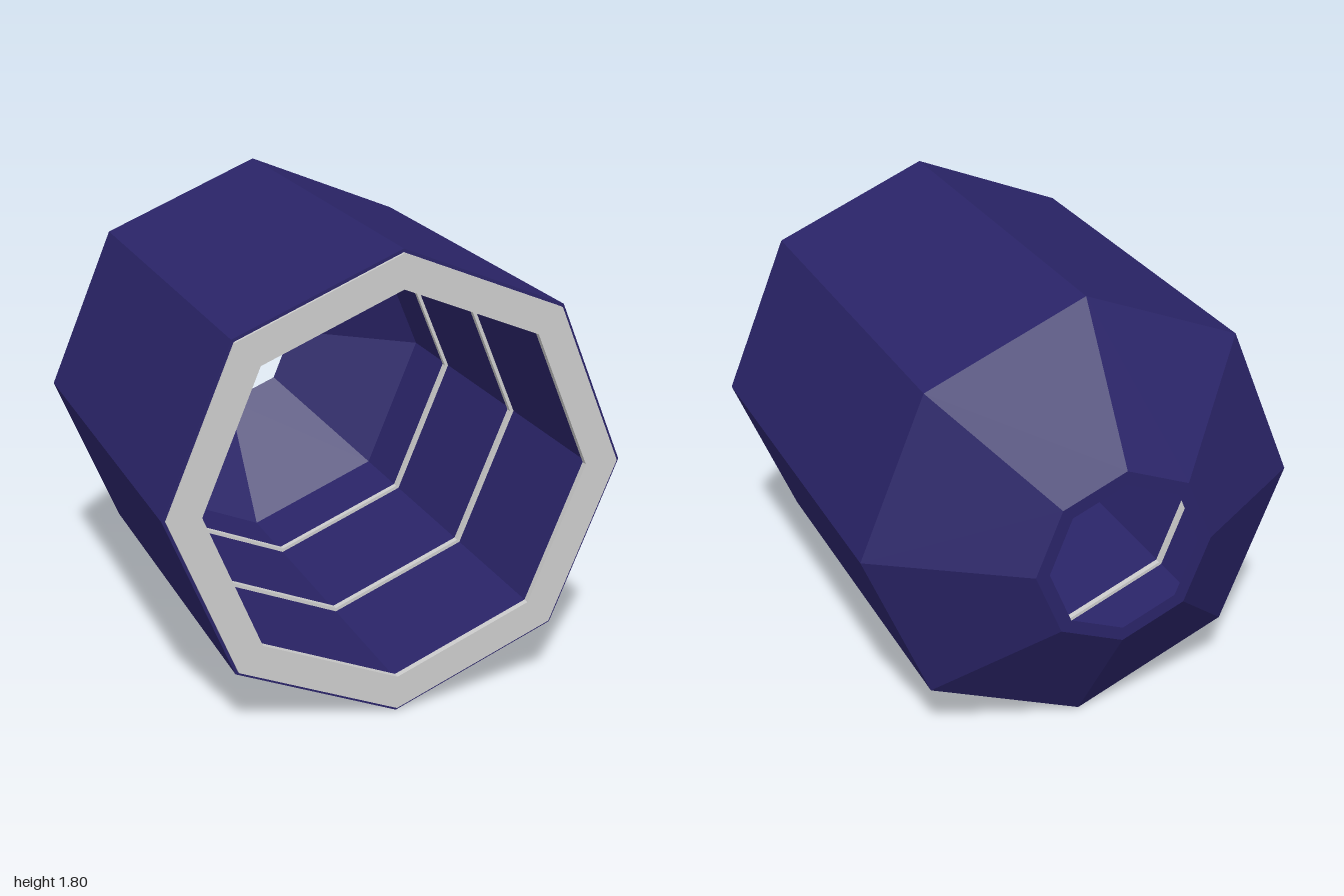
import * as THREE from 'three';

const CENTER_Y = 0.9;
const navy = new THREE.MeshStandardMaterial({ color: 0x2a2468, flatShading: true });
const grey = new THREE.MeshStandardMaterial({ color: 0xcccccc, flatShading: true });

// Eight-sided turned part along z; the profile lists [radius, z] and is closed automatically
function octagonal(name, profile, material) {
  const points = [...profile, profile[0]].map(([r, z]) => new THREE.Vector2(r, z));
  const geometry = new THREE.LatheGeometry(points, 8).rotateX(Math.PI / 2);
  const mesh = new THREE.Mesh(geometry, material);
  mesh.name = name;
  mesh.position.y = CENTER_Y;
  return mesh;
}

// Flat octagonal ring whose front face lies at z
function ring(name, inner, outer, z, depth) {
  return octagonal(name, [
    [outer, z - depth], [outer, z], [inner, z], [inner, z - depth],
  ], grey);
}

export function createModel() {
  const model = new THREE.Group();
  model.name = 'octagonalTube';

  // Hollow shell tapering to a small open hole at the back
  model.add(octagonal('shell', [
    [0.36, -1], [0.9, -0.64], [0.9, 0.988],
    [0.77, 0.988], [0.77, -0.63], [0.305, -1],
  ], navy));

  // Ring capping the open front
  model.add(ring('frontRing', 0.755, 0.887, 1, 0.025));

  // Slim ribs standing out from the inner wall
  [0.36, -0.28].forEach((z, i) => model.add(ring('innerRib' + (i + 1), 0.755, 0.79, z, 0.025)));

  return model;
}
